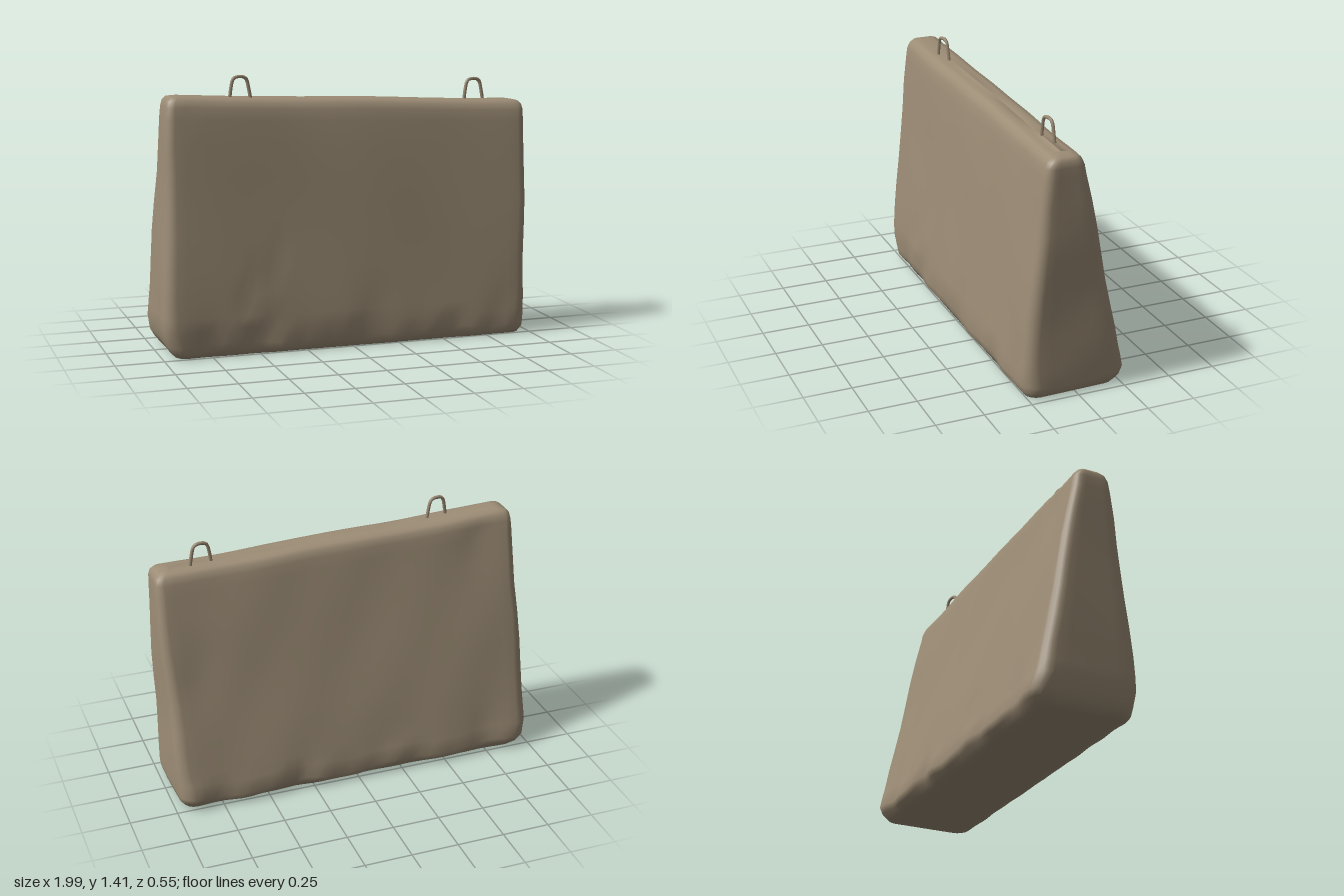
import * as THREE from 'three';

const concrete = new THREE.MeshStandardMaterial({ color: 0x9d8d76 });
concrete.name = 'weathered concrete';

// Horizontal sections, bottom to top: y, left x, right x, back z, front z, corner radius
const SECTIONS = [
  [0.012, -0.70, 0.75, 0.0, 0.01, 0.0],
  [0.01, -0.90, 0.91, -0.19, 0.21, 0.04],
  [0.012, -0.935, 0.95, -0.225, 0.245, 0.06],
  [0.04, -0.96, 0.97, -0.258, 0.262, 0.07],
  [0.075, -0.98, 0.975, -0.272, 0.268, 0.075],
  [0.15, -0.995, 0.975, -0.258, 0.27, 0.07],
  [0.21, -0.993, 0.976, -0.244, 0.266, 0.065],
  [0.32, -0.988, 0.978, -0.222, 0.257, 0.06],
  [0.45, -0.983, 0.98, -0.195, 0.246, 0.06],
  [0.6, -0.976, 0.983, -0.163, 0.232, 0.055],
  [0.75, -0.97, 0.986, -0.132, 0.219, 0.05],
  [0.9, -0.963, 0.989, -0.1, 0.205, 0.05],
  [1.05, -0.956, 0.991, -0.068, 0.192, 0.045],
  [1.18, -0.95, 0.992, -0.04, 0.178, 0.045],
  [1.235, -0.945, 0.99, -0.029, 0.17, 0.04],
  [1.265, -0.94, 0.985, -0.017, 0.158, 0.04],
  [1.284, -0.925, 0.968, 0.0, 0.14, 0.035],
  [1.29, -0.89, 0.93, 0.03, 0.11, 0.02],
  [1.29, -0.86, 0.90, 0.07, 0.071, 0.0],
];

// Dents and chips: x, y, side (+1 front, -1 back), radius, depth
const DENTS = [
  [-0.56, 0.34, 1, 0.06, 0.012], [-0.42, 0.48, 1, 0.06, 0.012],
  [-0.45, 0.12, 1, 0.1, 0.015], [0.02, 0.07, 1, 0.09, 0.018],
  [-0.8, 0.07, 1, 0.12, 0.018], [0.85, 0.2, 1, 0.13, 0.008],
  [-0.88, 1.15, 1, 0.05, 0.008], [0.1, 0.2, 1, 0.13, 0.008],
  [0.8, 0.72, -1, 0.15, 0.012], [-0.7, 0.12, -1, 0.1, 0.015],
  [0.35, 0.08, -1, 0.1, 0.012], [-0.75, 1.15, -1, 0.12, 0.01],
];

// One rounded rectangle ring, running front, right, back, left
function ring([, x0, x1, z0, z1, r]) {
  const pts = [], LONG = 36, SHORT = 6, ARC = 4;
  const rz = Math.min(r, (z1 - z0) / 2);
  const line = (ax, az, bx, bz, n) => {
    for (let i = 0; i < n; i++) pts.push([ax + (bx - ax) * i / n, az + (bz - az) * i / n]);
  };
  const arc = (cx, cz, from) => {
    for (let i = 0; i < ARC; i++) {
      const a = from - (i / ARC) * Math.PI / 2;
      pts.push([cx + r * Math.cos(a), cz + rz * Math.sin(a)]);
    }
  };
  line(x0 + r, z1, x1 - r, z1, LONG);
  arc(x1 - r, z1 - rz, Math.PI / 2);
  line(x1, z1 - rz, x1, z0 + rz, SHORT);
  arc(x1 - r, z0 + rz, 0);
  line(x1 - r, z0, x0 + r, z0, LONG);
  arc(x0 + r, z0 + rz, -Math.PI / 2);
  line(x0, z0 + rz, x0, z1 - rz, SHORT);
  arc(x0 + r, z1 - rz, Math.PI);
  return pts;
}

// Worn surface: slow waves, rougher lower edge, local dents, sloping top
function weather(x, y, z, mid) {
  const side = z > mid ? 1 : -1;
  const low = Math.exp(-((y - 0.07) ** 2) / 0.004);
  const wave = Math.sin(5.1 * x + 3.3 * y + side) * Math.sin(4.3 * y - 2.2 * x + 1) * 0.004
    + Math.sin(13 * x + 7 * y) * 0.0015;
  const chips = (Math.sin(17 * x + 2 * side) + Math.sin(29 * x + 1.3)) * 0.004 * low;
  let dz = wave + chips;
  for (const [dx, dy, s, radius, depth] of DENTS) {
    if (s === side) dz -= depth * Math.exp(-((x - dx) ** 2 + (y - dy) ** 2) / (radius * radius * 0.5));
  }
  const grip = Math.min(1, Math.abs(z - mid) / 0.07);
  const endWave = Math.abs(x) > 0.9 ? Math.sin(9 * y + 6 * z) * 0.004 : 0;
  const t = Math.min(1, y / 1.29);
  const rise = -0.037 * x * t + Math.sin(6 * x + 1) * 0.003 * t ** 6;
  const nick = y < 0.2 && y > 0.02 ? Math.sin(11 * x + 9 * z) * 0.009 : 0;
  return [x + endWave, y + rise + nick, z + side * dz * grip];
}

function createBlock() {
  const positions = [], index = [];
  let n = 0;
  SECTIONS.forEach((s) => {
    const pts = ring(s);
    n = pts.length;
    for (const [x, z] of pts) positions.push(...weather(x, s[0], z, (s[3] + s[4]) / 2));
  });
  for (let j = 0; j < SECTIONS.length - 1; j++) {
    for (let i = 0; i < n; i++) {
      const a = j * n + i, b = j * n + (i + 1) % n;
      index.push(a, b, b + n, a, b + n, a + n);
    }
  }
  // Closing strips along the narrow middle of the bottom and top
  const top = (SECTIONS.length - 1) * n;
  for (let i = 1; i < n - 1; i++) {
    index.push(0, i + 1, i);
    index.push(top, top + i, top + i + 1);
  }
  const g = new THREE.BufferGeometry();
  g.setAttribute('position', new THREE.Float32BufferAttribute(positions, 3));
  g.setIndex(index);
  g.computeVertexNormals();
  const mesh = new THREE.Mesh(g, concrete);
  mesh.name = 'barrierBlock';
  return mesh;
}

// Bent rod lifting loop set into the top
function createLoop(name, x, top, z, tilt) {
  const profile = [[-0.058, -0.14], [-0.05, -0.07], [-0.036, -0.018], [-0.018, -0.009],
    [0.016, -0.009], [0.034, -0.02], [0.048, -0.07], [0.06, -0.14]];
  const path = new THREE.CatmullRomCurve3(
    profile.map(([px, py]) => new THREE.Vector3(x + px, top + py, z - px * tilt)));
  const mesh = new THREE.Mesh(new THREE.TubeGeometry(path, 24, 0.009, 6), concrete);
  mesh.name = name;
  return mesh;
}

export function createModel() {
  const model = new THREE.Group();
  model.name = 'concreteBarrier';
  model.add(
    createBlock(),
    createLoop('rightLiftingLoop', -0.555, 1.42, 0.09, 0.16),
    createLoop('leftLiftingLoop', 0.735, 1.375, 0.06, 0.14),
  );
  return model;
}
